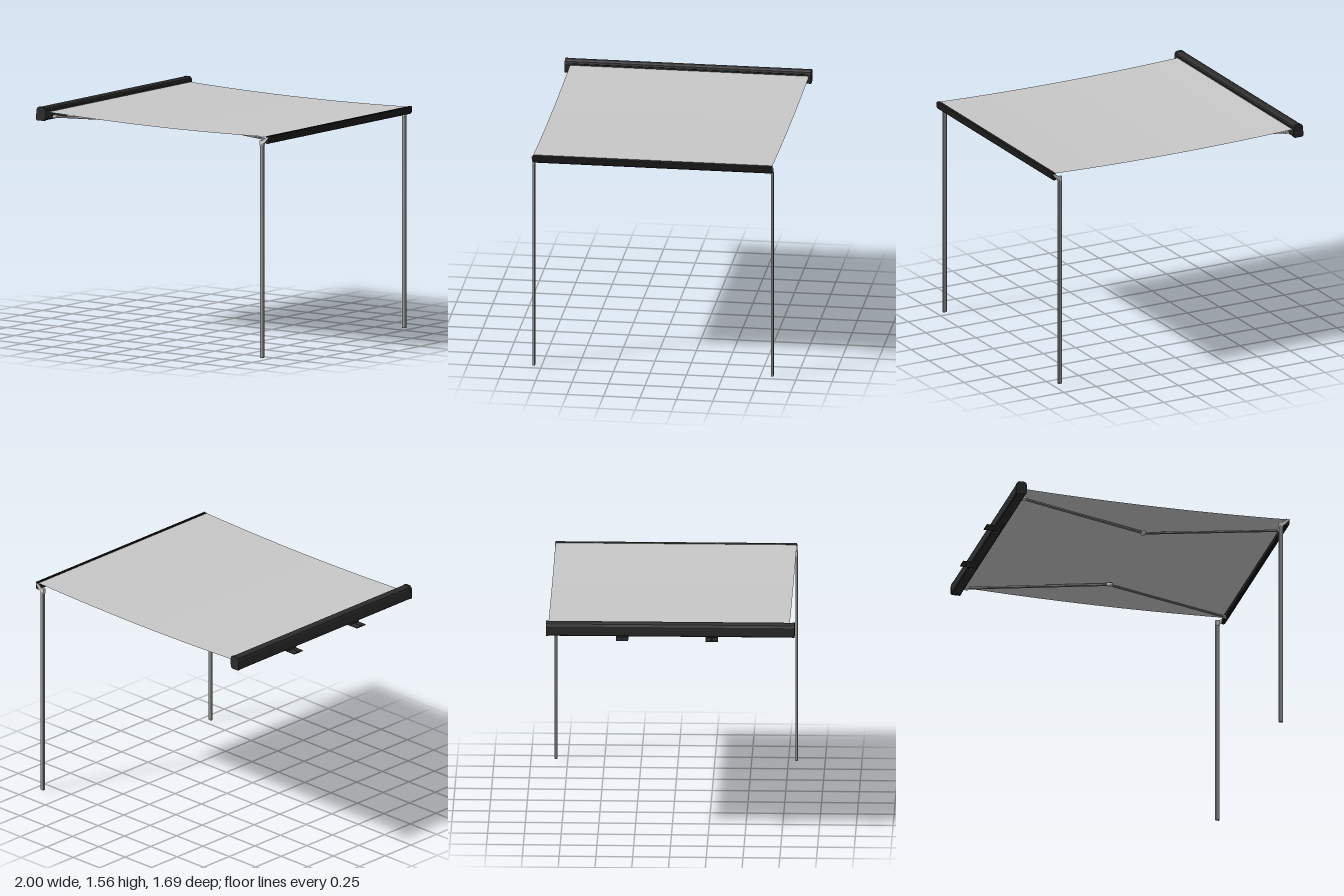
import * as THREE from 'three';
import { RoundedBoxGeometry } from 'three/addons/geometries/RoundedBoxGeometry.js';

export function createModel() {
  const root = new THREE.Group();
  const mat = (name, color, side = THREE.FrontSide) => {
    const m = new THREE.MeshStandardMaterial({ color, side });
    m.name = name;
    return m;
  };
  const charcoal = mat('charcoal', 0x2c2c2c);
  const black = mat('black', 0x1a1a1a);
  const aluminium = mat('aluminium', 0x969696);
  const lightMetal = mat('lightMetal', 0xd6d6d6);
  const fabric = mat('fabric', 0xc8c8c8, THREE.DoubleSide);

  const add = (name, geo, material, x = 0, y = 0, z = 0, parent = root) => {
    const m = new THREE.Mesh(geo, material);
    m.name = name;
    m.position.set(x, y, z);
    parent.add(m);
    return m;
  };
  const box = (w, h, d) => new THREE.BoxGeometry(w, h, d);

  // extrude an x/y outline along z, from z0 to z1
  const profile = (name, pts, z0, z1, material) => {
    const shape = new THREE.Shape(pts.map(([x, y]) => new THREE.Vector2(x, y)));
    const geo = new THREE.ExtrudeGeometry(shape, { depth: z1 - z0, bevelEnabled: false });
    return add(name, geo, material, 0, 0, z0);
  };

  const midZ = -0.013; // centre line of the fabric and frame

  // cassette housing with rounded outline and end caps
  const housing = [
    [-0.928, 1.470], [-0.872, 1.470], [-0.864, 1.478], [-0.861, 1.500], [-0.861, 1.535],
    [-0.866, 1.552], [-0.878, 1.560], [-0.912, 1.560], [-0.925, 1.553], [-0.932, 1.538],
    [-0.934, 1.500], [-0.934, 1.476],
  ];
  profile('cassette', housing, -0.832, 0.826, charcoal);
  const cap = housing.map(([x, y]) => [-0.898 + (x + 0.898) * 1.05, 1.515 + (y - 1.515) * 1.05]);
  profile('cassetteEndCap', cap, 0.826, 0.842, charcoal);
  profile('cassetteEndCap', cap, -0.848, -0.832, charcoal);
  add('cassetteRib', box(0.004, 0.004, 1.65), black, -0.860, 1.537, -0.003);

  // wall brackets with bolts
  for (const z of [0.28, -0.33]) {
    const g = new THREE.Group();
    g.name = 'wallBracket';
    g.position.z = z;
    root.add(g);
    add('bracketPlate', new RoundedBoxGeometry(0.068, 0.008, 0.084, 2, 0.003), charcoal, -0.966, 1.461, 0, g);
    add('bracketFoot', box(0.05, 0.014, 0.084), charcoal, -0.912, 1.465, 0, g);
    for (const x of [-0.985, -0.963])
      add('bolt', new THREE.CylinderGeometry(0.005, 0.005, 0.003, 10), black, x, 1.466, 0, g);
  }

  // fabric sheet with a shallow sag
  const cloth = new THREE.PlaneGeometry(1.85, 1.64, 24, 1).rotateX(-Math.PI / 2);
  const p = cloth.attributes.position;
  for (let i = 0; i < p.count; i++) {
    const u = p.getX(i) / 0.925;
    p.setY(i, 1.508 + 0.018 * u * u);
  }
  cloth.computeVertexNormals();
  add('canopyFabric', cloth, fabric, 0.058, 0, midZ - 0.002);

  // front bar with a groove along its top
  profile('frontBar', [
    [0.968, 1.482], [0.980, 1.476], [0.994, 1.480], [1.000, 1.492], [1.000, 1.528],
    [0.994, 1.532], [0.991, 1.526], [0.985, 1.526], [0.981, 1.531], [0.976, 1.526], [0.974, 1.505],
  ], -0.836, 0.806, black);

  // arm section running between two points in plan
  const arm = (name, x0, z0, x1, z1, y, w, h) => {
    const len = Math.hypot(x1 - x0, z1 - z0);
    const m = add(name, new RoundedBoxGeometry(len, h, w, 2, 0.004), aluminium, (x0 + x1) / 2, y, (z0 + z1) / 2);
    m.rotation.y = -Math.atan2(z1 - z0, x1 - x0);
    return m;
  };

  for (const s of [1, -1]) {
    const zAt = (d) => midZ + s * d;

    // post with head joint and connector to the front bar
    add('post', new RoundedBoxGeometry(0.028, 1.47, 0.018, 2, 0.004), aluminium, 0.94, 0.735, zAt(0.818));
    add('postHead', new RoundedBoxGeometry(0.032, 0.04, 0.02, 2, 0.004), lightMetal, 0.94, 1.478, zAt(0.816));
    profile('postConnector', [
      [0.93, 1.478], [0.962, 1.478], [0.994, 1.515], [0.994, 1.524], [0.975, 1.518], [0.945, 1.497], [0.93, 1.497],
    ], zAt(0.822) - 0.004, zAt(0.822) + 0.004, lightMetal);

    // folding arm
    const elbow = [0.075, zAt(0.43)];
    arm('rearArm', -0.85, zAt(0.745), ...elbow, 1.487, 0.022, 0.014);
    arm('frontArm', ...elbow, 0.955, zAt(0.715), 1.484, 0.02, 0.012);
    add('elbowJoint', new THREE.CylinderGeometry(0.02, 0.02, 0.018, 16), lightMetal, elbow[0], 1.485, elbow[1]);
    add('shoulderJoint', new RoundedBoxGeometry(0.045, 0.018, 0.04, 2, 0.005), lightMetal, -0.853, 1.488, zAt(0.745));
    add('wristJoint', new RoundedBoxGeometry(0.035, 0.014, 0.03, 2, 0.004), lightMetal, 0.96, 1.485, zAt(0.717));
  }
  return root;
}
